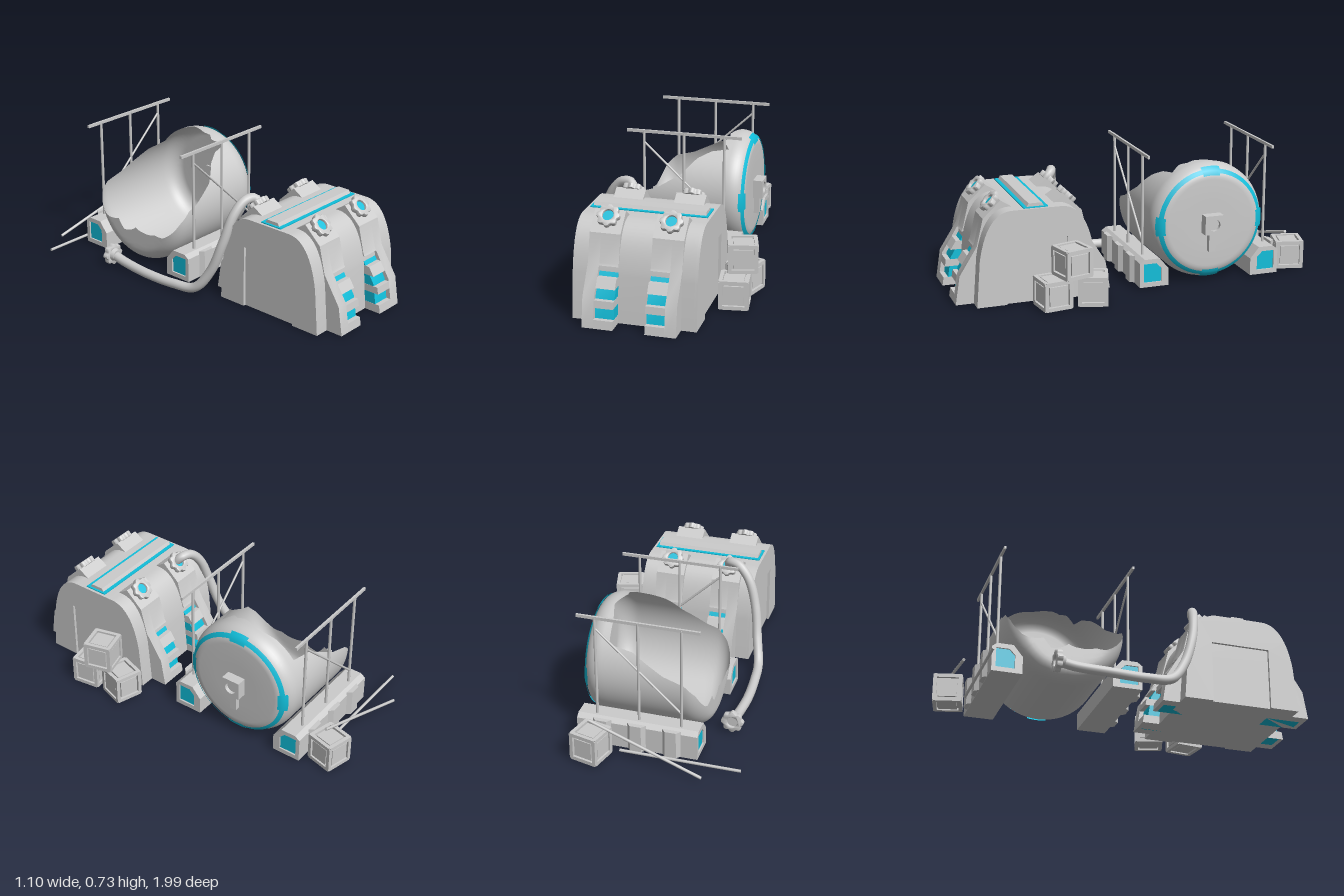
import * as THREE from 'three';
import { toCreasedNormals } from 'three/addons/utils/BufferGeometryUtils.js';

const grey = new THREE.MeshStandardMaterial({ color: 0xcccccc });
const cyan = new THREE.MeshStandardMaterial({ color: 0x11bfdb });
const greyThin = new THREE.MeshStandardMaterial({ color: 0xcccccc, side: THREE.DoubleSide });
const cyanThin = new THREE.MeshStandardMaterial({ color: 0x11bfdb, side: THREE.DoubleSide });
const V = (x, y, z) => new THREE.Vector3(x, y, z);

function add(parent, name, geo, mat = grey, x = 0, y = 0, z = 0) {
  const m = new THREE.Mesh(geo, mat);
  m.name = name;
  m.position.set(x, y, z);
  parent.add(m);
  return m;
}
function group(parent, name, x = 0, y = 0, z = 0, ry = 0) {
  const g = new THREE.Group();
  g.name = name;
  g.position.set(x, y, z);
  g.rotation.y = ry;
  parent.add(g);
  return g;
}
const box = (x, y, z) => new THREE.BoxGeometry(x, y, z);
const toShape = pts => new THREE.Shape(pts.map(p => new THREE.Vector2(p[0], p[1])));

// Extrudes a (z, y) outline along x from x0 to x1
function slab(pts, x0, x1, hole) {
  const s = toShape(pts);
  if (hole) s.holes.push(toShape(hole));
  const g = new THREE.ExtrudeGeometry(s, { depth: x1 - x0, bevelEnabled: false });
  g.rotateY(-Math.PI / 2).translate(x1, 0, 0);
  return toCreasedNormals(g, 0.5);
}
function bar(parent, name, a, b, r = 0.008) {
  const m = add(parent, name, new THREE.CylinderGeometry(r, r, a.distanceTo(b), 8));
  m.position.copy(a).lerp(b, 0.5);
  m.quaternion.setFromUnitVectors(V(0, 1, 0), b.clone().sub(a).normalize());
}

// Lobed hand wheel facing +z
function valve(parent, name, x, y, z, tilt, centre = cyan) {
  const g = group(parent, name, x, y, z);
  g.rotation.x = tilt;
  const pts = [];
  for (let i = 0; i < 64; i++) {
    const a = i / 64 * Math.PI * 2, r = 0.052 + 0.005 * Math.cos(8 * a);
    pts.push([r * Math.cos(a), r * Math.sin(a)]);
  }
  const s = toShape(pts);
  s.holes.push(new THREE.Path().absarc(0, 0, 0.033, 0, Math.PI * 2, true));
  const rim = new THREE.ExtrudeGeometry(s, { depth: 0.02, bevelSize: 0.004, bevelThickness: 0.006, bevelSegments: 2 });
  add(g, 'valveRim', toCreasedNormals(rim, 0.6));
  add(g, 'valveLens', new THREE.CylinderGeometry(0.035, 0.035, 0.016, 24).rotateX(Math.PI / 2), centre, 0, 0, 0.004);
}

// Generator block with arched section, recessed doors and stepped feet
function buildGenerator(root) {
  const g = group(root, 'generator', 0.0125, 0, 0.575), H = 0.3225;
  const half = [[0.325, 0], [0.305, 0.25]];
  const bend = new THREE.QuadraticBezierCurve(new THREE.Vector2(0.305, 0.25),
    new THREE.Vector2(0.265, 0.503), new THREE.Vector2(0.13, 0.503));
  for (const p of bend.getPoints(14).slice(1)) half.push([p.x, p.y]);
  const arch = half.concat(half.map(([w, y]) => [-w, y]).reverse());
  add(g, 'generatorBody', slab(arch, -H + 0.015, H - 0.015));
  const doorway = arch.concat([[-0.165, 0], [-0.165, 0.34], [0.165, 0.34], [0.165, 0]]);
  add(g, 'doorFrame', slab(doorway, H - 0.015, H));
  add(g, 'doorFrame', slab(doorway, -H, -H + 0.015));

  // Top ridge
  add(g, 'ridgeGlow', box(0.615, 0.012, 0.13), cyan, 0, 0.502, 0);
  add(g, 'ridgeBar', slab([[0.05, 0.5], [0.035, 0.525], [-0.035, 0.525], [-0.05, 0.5]], -0.295, 0.295));

  // Four feet with recessed windows
  const pad = [[0.42, 0], [0.395, 0.155], [0.30, 0.305], [0.265, 0.45], [0.17, 0.54], [0.10, 0.495]];
  const width = y => {
    let i = 0;
    while (y > pad[i + 1][1]) i++;
    return THREE.MathUtils.mapLinear(y, pad[i][1], pad[i + 1][1], pad[i][0], pad[i + 1][0]);
  };
  const inner = 0.2;
  const full = pad.concat([[0.10, 0]]);
  const glow = [[0.395, 0], [0.37, 0.155], [0.28, 0.3], [inner, 0.3], [inner, 0]];
  for (const turn of [0, Math.PI]) {
    const side = group(g, turn ? 'backFeet' : 'frontFeet', 0, 0, 0, turn);
    for (const s of [-1, 1]) {
      const part = (name, pts, a, b, mat) =>
        add(side, name, slab(pts, Math.min(s * a, s * b), Math.max(s * a, s * b)), mat);
      part('footColumn', full, 0.1825, 0.2425, grey);
      for (const [a, b] of [[0, 0.045], [0.105, 0.143], [0.196, 0.243]])
        part('windowDivider', [[inner, a], [width(a), a], [width(b), b], [inner, b]], 0.0825, 0.1825, grey);
      part('footTop', [[0.1, 0.293], [width(0.293), 0.293], ...pad.slice(2)], 0.0825, 0.1825, grey);
      part('footWindows', glow, 0.0835, 0.1825, cyan);
      valve(side, 'valve', s * 0.1625, 0.513, 0.2, -0.8);
    }
  }
}

// Torn tank: profile parameter u runs cap, rounded corner, wall, corner, lid
const HALF = 0.3225, RAD = 0.32, CX = 0.095, CR = 0.08;
function tankProfile(u) {
  if (u > 2.5) { const [x, r] = tankProfile(5 - u); return [-x, r]; }
  if (u < 1) return [-HALF, u * (RAD - CR)];
  const t = Math.min(u - 1, 1) * Math.PI / 2;
  const x = -HALF + CX * (1 - Math.cos(t));
  return [x + Math.max(0, u - 2) * 2 * (HALF - CX), RAD - CR + CR * Math.sin(t)];
}
function tankPatch(a0, a1, n, rows, off = 0) {
  const pos = [], idx = [];
  let m = 0;
  for (let i = 0; i <= n; i++) {
    const deg = a0 + (a1 - a0) * i / n, a = deg * Math.PI / 180, us = rows(deg);
    m = us.length;
    for (const u of us) {
      const [x, r] = tankProfile(u);
      pos.push(x + off, (r + off) * Math.cos(a), (r + off) * Math.sin(a));
    }
  }
  for (let i = 0; i < n; i++) for (let j = 0; j < m - 1; j++) {
    const p = i * m + j, q = p + m;
    idx.push(p, p + 1, q, q, p + 1, q + 1);
  }
  const g = new THREE.BufferGeometry();
  g.setAttribute('position', new THREE.Float32BufferAttribute(pos, 3));
  g.setIndex(idx);
  return toCreasedNormals(g, 0.7);
}
function buildTank(root) {
  const g = group(root, 'tank', 0.0125, 0.33, -0.39);
  // Torn edge: angle from the top, profile parameter
  const tear = [[-180, 0.5], [-150, 0.75], [-128, 0.7], [-112, 1.2], [-92, 1.6], [-76, 2.25], [-66, 2.47], [-58, 2.63],
    [-54, 2.91], [-30, 2.93], [-11, 2.99], [9, 2.91], [16, 2.93], [23, 2.87], [34, 2.96], [38, 2.76], [47, 2.6],
    [65, 2.43], [80, 2.14], [95, 1.6], [115, 1.15], [130, 0.8], [155, 0.62], [180, 0.5]];
  const start = a => {
    let i = 0;
    while (i < tear.length - 2 && a > tear[i + 1][0]) i++;
    return THREE.MathUtils.mapLinear(a, tear[i][0], tear[i + 1][0], tear[i][1], tear[i + 1][1]);
  };
  add(g, 'tankShell', tankPatch(-180, 180, 180, a => {
    const us = [], u0 = start(a);
    for (let j = 0; j < 20; j++) us.push(u0 + (3 - u0) * j / 20);
    for (let j = 0; j <= 10; j++) us.push(3 + j / 10);
    return us.concat([4.5, 5]);
  }), greyThin);
  add(g, 'lidRing', tankPatch(-180, 180, 96, () => [3.56, 3.66, 3.76], 0.004), cyanThin);
  for (let k = 0; k < 4; k++)
    add(g, 'lidRingMark', tankPatch(k * 90 - 10, k * 90 + 10, 8, () => [3.44, 3.56, 3.66, 3.76, 3.87], 0.006), cyanThin);

  // Lid handle with a round socket
  const socket = [];
  for (let i = 0; i < 24; i++) socket.push([0.033 * Math.cos(i * Math.PI / 12), 0.033 * Math.sin(i * Math.PI / 12)]);
  const sq = [[-0.052, -0.052], [0.052, -0.052], [0.052, 0.052], [-0.052, 0.052]];
  add(g, 'handleBlock', slab(sq, HALF - 0.01, HALF + 0.035));
  add(g, 'handleSocket', slab(sq, HALF + 0.035, HALF + 0.055, socket));
  add(g, 'handleLever', box(0.035, 0.11, 0.038), grey, HALF + 0.012, -0.1, 0);
}

// Cradle beams with end windows, clamps and railings
function buildCradles(root) {
  const outline = [[0.402, 0.005], [0.402, 0.14], [0.375, 0.16], [0.29, 0.16], [0.24, 0.1], [0.24, 0.005]];
  const win = [[0.38, 0.03], [0.38, 0.135], [0.31, 0.135], [0.28, 0.105], [0.28, 0.03]];
  for (const turn of [0, Math.PI]) {
    const g = group(root, turn ? 'backCradle' : 'frontCradle', 0.0125, 0, -0.39, turn);
    add(g, 'cradleBeam', slab(outline, -HALF + 0.02, HALF - 0.02));
    for (const s of [-1, 1]) {
      add(g, 'beamEnd', slab(outline, s > 0 ? HALF - 0.02 : -HALF, s > 0 ? HALF : -HALF + 0.02, win));
      add(g, 'beamWindow', slab(win, s * (HALF - 0.015) - 0.006, s * (HALF - 0.015) + 0.006), cyan);
    }
    const clamp = toShape([[-0.05, 0], [0.05, 0], [0.03, -0.025], [-0.03, -0.025]]);
    for (const x of [-0.186, 0, 0.186]) {
      const c = new THREE.ExtrudeGeometry(clamp, { depth: 0.15, bevelEnabled: false }).rotateX(-Math.PI / 2);
      add(g, 'clamp', c, grey, x, 0.008, 0.4);
    }
    for (const x of [-0.226, 0, 0.226]) bar(g, 'railPost', V(x, 0.15, 0.355), V(x, 0.72, 0.355));
    bar(g, 'railBrace', V(-0.222, 0.655, 0.355), V(0.226, 0.235, 0.355), 0.006);
    add(g, 'handRail', box(0.645, 0.016, 0.012), grey, 0, 0.718, 0.355);
  }
  bar(root, 'fallenRail', V(-0.55, 0.016, -0.837), V(0.09, 0.016, -0.837));
  bar(root, 'leaningRail', V(-0.375, 0.012, -0.945), V(0.235, 0.2, -0.885));
}

// Framed crate with a raised panel on each face
function crate(root, x, y, z, deg) {
  const g = group(root, 'crate', x, y + 0.078, z, deg * Math.PI / 180);
  const S = 0.156, t = 0.02, e = (S - t) / 2;
  add(g, 'crateCore', box(S - 0.03, S - 0.03, S - 0.03));
  for (const d of [[S - 0.008, 0.1, 0.1], [0.1, S - 0.008, 0.1], [0.1, 0.1, S - 0.008]]) add(g, 'cratePanel', box(...d));
  for (const a of [-e, e]) for (const b of [-e, e]) {
    add(g, 'crateEdge', box(S - 0.012, t, t), grey, 0, a, b);
    add(g, 'crateEdge', box(t, S - 0.012, t), grey, a, 0, b);
    add(g, 'crateEdge', box(t, t, S - 0.012), grey, a, b, 0);
  }
}

export function createModel() {
  const root = new THREE.Group();
  root.name = 'generatorSite';
  buildGenerator(root);
  buildTank(root);
  buildCradles(root);
  crate(root, 0.442, 0.003, 0.31, -18);
  crate(root, 0.437, 0.003, 0.525, 8);
  crate(root, 0.453, 0.164, 0.425, 15);
  crate(root, 0.22, 0.003, -0.905, -14);

  // Hose from the back valve to the loose coupling
  const path = new THREE.CatmullRomCurve3([V(-0.15, 0.51, 0.39), V(-0.165, 0.553, 0.355), V(-0.22, 0.55, 0.335),
    V(-0.285, 0.48, 0.315), V(-0.335, 0.33, 0.285), V(-0.365, 0.16, 0.225), V(-0.395, 0.05, 0.14),
    V(-0.41, 0.03, 0), V(-0.42, 0.03, -0.2), V(-0.412, 0.04, -0.38), V(-0.41, 0.055, -0.46)]);
  add(root, 'hose', new THREE.TubeGeometry(path, 80, 0.026, 14), greyThin);
  const end = group(root, 'hoseCoupling', -0.41, 0.058, -0.465, Math.PI);
  valve(end, 'coupling', 0, 0, 0, 0, grey);
  add(end, 'couplingNeck', new THREE.CylinderGeometry(0.04, 0.03, 0.03, 16).rotateX(Math.PI / 2), grey, 0, 0, -0.012);
  return root;
}
